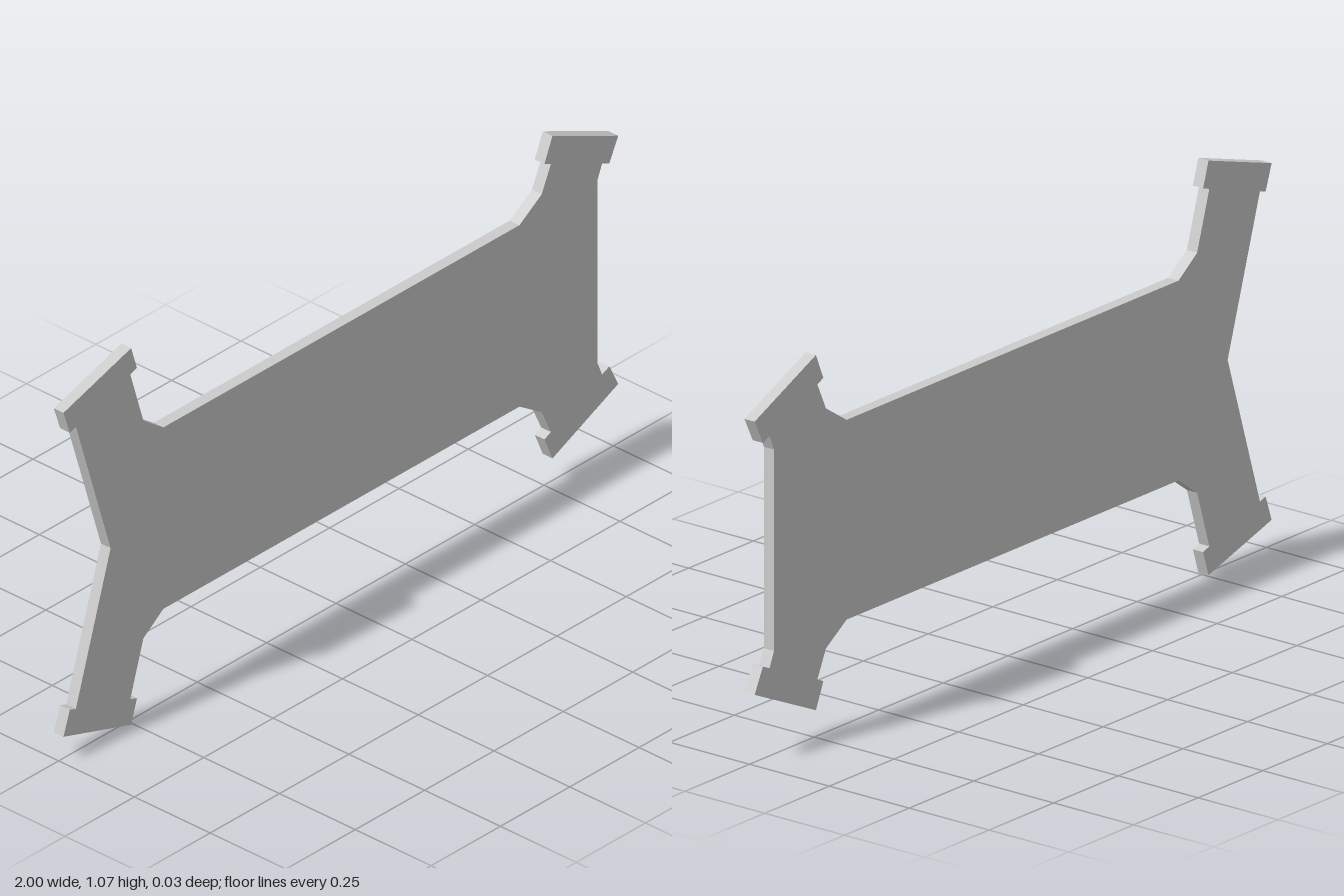
import * as THREE from 'three';

const MID = 0.5365;      // height of the mirror line
const THICKNESS = 0.032;

// Upper half of the outline, from the notch on the right end to the straight left end
const upperEdge = [
  [-0.83, MID],
  // tall hooked foot
  [-0.955, 0.938], [-0.977, 0.931], [-1, 0.998], [-0.756, 1.073], [-0.735, 1.007], [-0.759, 0.999],
  // chamfered long edge
  [-0.712, 0.847], [-0.64, 0.795], [0.644, 0.795], [0.724, 0.847],
  // splayed hooked foot
  [0.757, 0.918], [0.734, 0.929], [0.763, 0.996], [1, 0.89], [0.968, 0.826], [0.942, 0.837], [0.925, 0.797],
];

export function createModel() {
  const group = new THREE.Group();
  group.name = 'bracketPlate';

  // Mirror the upper edge below the middle, skipping the shared notch point
  const lowerEdge = upperEdge.slice(1).reverse().map(([x, y]) => [x, 2 * MID - y]);
  const outline = [...upperEdge, ...lowerEdge].map(([x, y]) => new THREE.Vector2(x, y));

  const geometry = new THREE.ExtrudeGeometry(new THREE.Shape(outline), {
    depth: THICKNESS, bevelEnabled: false,
  });
  geometry.translate(0, 0, -THICKNESS / 2);

  const plate = new THREE.Mesh(
    geometry,
    new THREE.MeshStandardMaterial({ color: 0xcccccc, flatShading: true }),
  );
  plate.name = 'plate';
  group.add(plate);
  return group;
}
